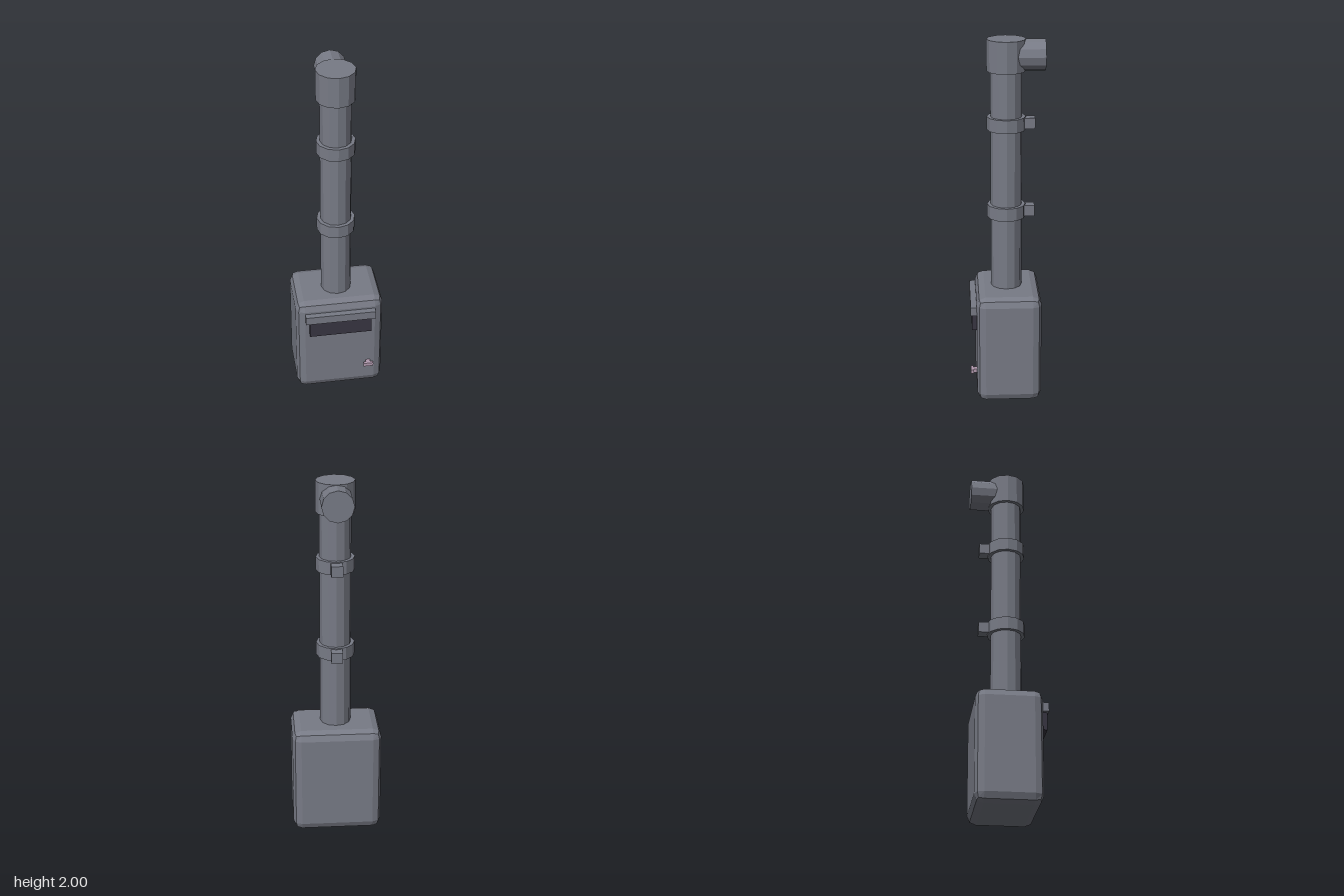
import * as THREE from 'three';
import { RoundedBoxGeometry } from 'three/addons/geometries/RoundedBoxGeometry.js';

const paint = (name, color) => new THREE.MeshStandardMaterial({ name, color, flatShading: true });

export function createModel() {
  const grey = paint('slate grey', 0x787b86);
  const dark = paint('dark opening', 0x383542);
  const pink = paint('pale mauve metal', 0xb39bb0);
  const model = new THREE.Group();
  model.name = 'wallBoxWithPipe';

  const add = (name, geometry, material, x, y, z) => {
    const mesh = new THREE.Mesh(geometry, material);
    mesh.name = name;
    mesh.position.set(x, y, z);
    model.add(mesh);
    return mesh;
  };
  const box = (name, material, [x0, x1], [y0, y1], [z0, z1]) =>
    add(name, new THREE.BoxGeometry(x1 - x0, y1 - y0, z1 - z0), material,
      (x0 + x1) / 2, (y0 + y1) / 2, (z0 + z1) / 2);
  const pipeZ = 0.002;
  const drum = (name, radius, y0, y1) =>
    add(name, new THREE.CylinderGeometry(radius, radius, y1 - y0, 12), grey, 0, (y0 + y1) / 2, pipeZ);

  // Cabinet with bevelled edges
  add('cabinet', new RoundedBoxGeometry(0.494, 0.617, 0.356, 1, 0.048), grey, 0, 0.3085, -0.005);

  // Slot and the hood above it
  box('slot', dark, [-0.175, 0.175], [0.413, 0.51], [0.15, 0.199]);
  box('slotHood', grey, [-0.198, 0.198], [0.508, 0.557], [0.15, 0.206]);

  // Latch: stem and crossbar
  box('latchStem', pink, [0.148, 0.174], [0.153, 0.175], [0.15, 0.195]);
  box('latchBar', pink, [0.133, 0.189], [0.153, 0.175], [0.192, 0.207]);

  // Vertical pipe and its head
  drum('pipe', 0.085, 0.58, 1.85);
  drum('pipeHead', 0.105, 1.83, 2);

  // Outlet pointing backwards
  const outlet = add('outlet', new THREE.CylinderGeometry(0.085, 0.085, 0.205, 12), grey, 0, 1.914, -0.1025);
  outlet.rotation.x = Math.PI / 2;

  // Clamps with wall brackets behind
  for (const y of [1.055, 1.547]) {
    drum('clamp', 0.105, y - 0.036, y + 0.036);
    box('wallBracket', grey, [-0.031, 0.031], [y - 0.03, y + 0.03], [-0.152, -0.085]);
  }
  return model;
}
